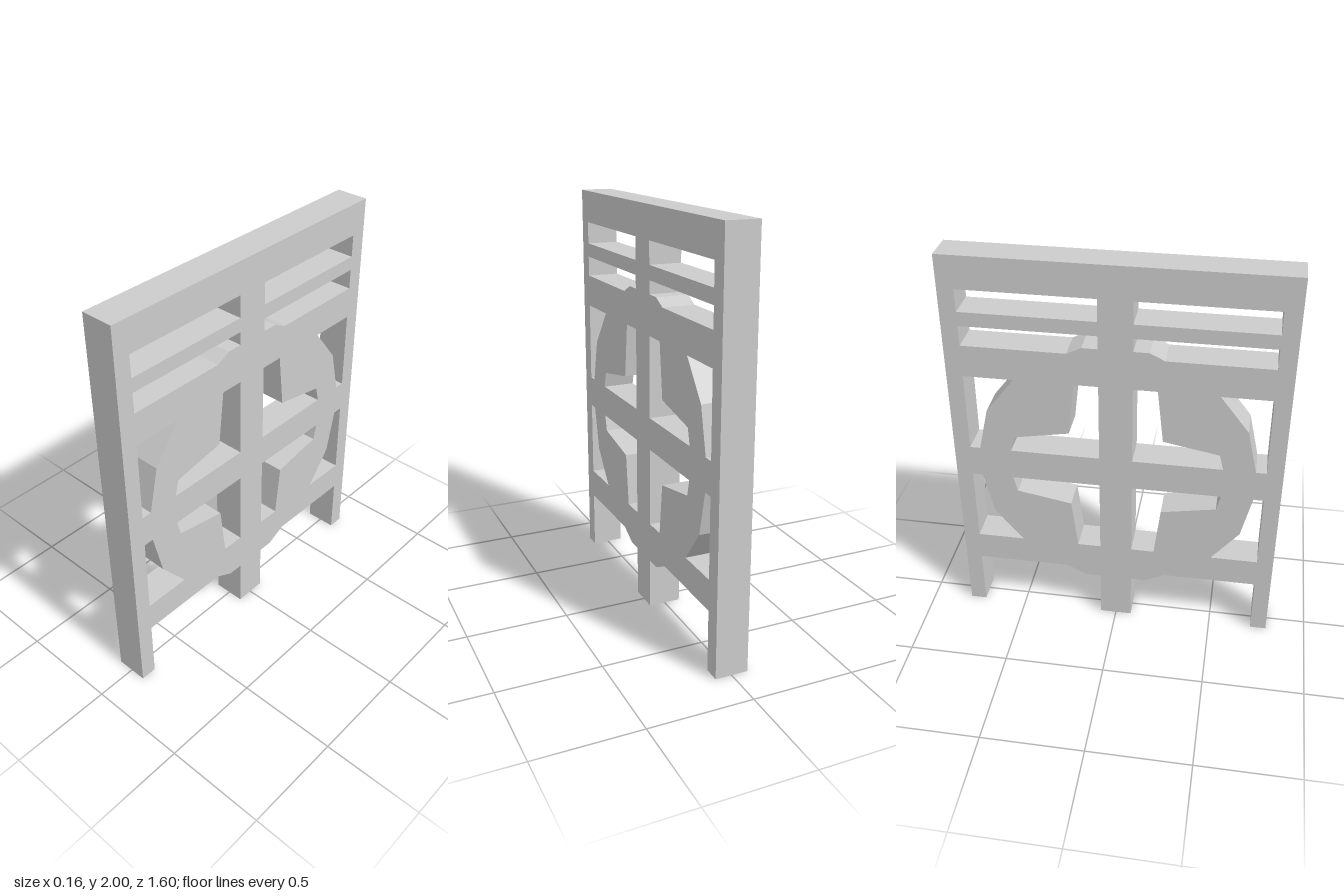
import * as THREE from 'three';

const THICKNESS = 0.16;
const CENTRE = 0.08; // half width of the centre post
const INNER = 0.72;  // inner edge of the side posts
const OUTER = 0.8;

const material = new THREE.MeshStandardMaterial({ color: 0xcccccc, flatShading: true });

// Extrudes a [z, y] outline through the panel thickness
function slab(name, outline) {
  const shape = new THREE.Shape(outline.map(([z, y]) => new THREE.Vector2(z, y)));
  const geometry = new THREE.ExtrudeGeometry(shape, { depth: THICKNESS, bevelEnabled: false });
  geometry.translate(0, 0, -THICKNESS / 2);
  geometry.rotateY(-Math.PI / 2);
  const mesh = new THREE.Mesh(geometry, material);
  mesh.name = name;
  return mesh;
}

const rect = (z0, z1, y0, y1) => [[z0, y0], [z1, y0], [z1, y1], [z0, y1]];

// Outlines of one half; the other half mirrors them in z
const halfParts = {
  sidePost: rect(INNER, OUTER, 0, 2),
  topRail: rect(CENTRE, INNER, 1.84, 2),
  slatRail: rect(CENTRE, INNER, 1.66, 1.73),
  upperRail: rect(CENTRE, INNER, 1.4, 1.56),
  middleRail: rect(CENTRE, INNER, 0.84, 1),
  lowerRail: rect(CENTRE, INNER, 0.3, 0.45),
  // Parts of the ring that rise past the upper and lower rails
  ringCrown: [[CENTRE, 1.56], [0.225, 1.56], [0.155, 1.595], [CENTRE, 1.595]],
  ringFoot: [[CENTRE, 0.25], [0.155, 0.25], [0.255, 0.3], [CENTRE, 0.3]],
  // Ring quarters between the rails, each with a corner pointing inwards
  upperRingQuarter: [[0.67, 1], [0.62, 1.22], [0.48, 1.4], [0.195, 1.4],
    [0.225, 1.13], [0.495, 1.08], [0.515, 1]],
  lowerRingQuarter: [[0.67, 0.84], [0.62, 0.62], [0.485, 0.45], [0.195, 0.45],
    [0.225, 0.71], [0.495, 0.76], [0.515, 0.84]],
};

export function createModel() {
  const model = new THREE.Group();
  model.name = 'latticePanel';
  model.add(slab('centrePost', rect(-CENTRE, CENTRE, 0, 2)));

  for (const side of [1, -1]) {
    const half = new THREE.Group();
    half.name = side > 0 ? 'frontHalf' : 'backHalf';
    for (const [name, outline] of Object.entries(halfParts)) {
      half.add(slab(name, outline.map(([z, y]) => [side * z, y])));
    }
    model.add(half);
  }
  return model;
}
